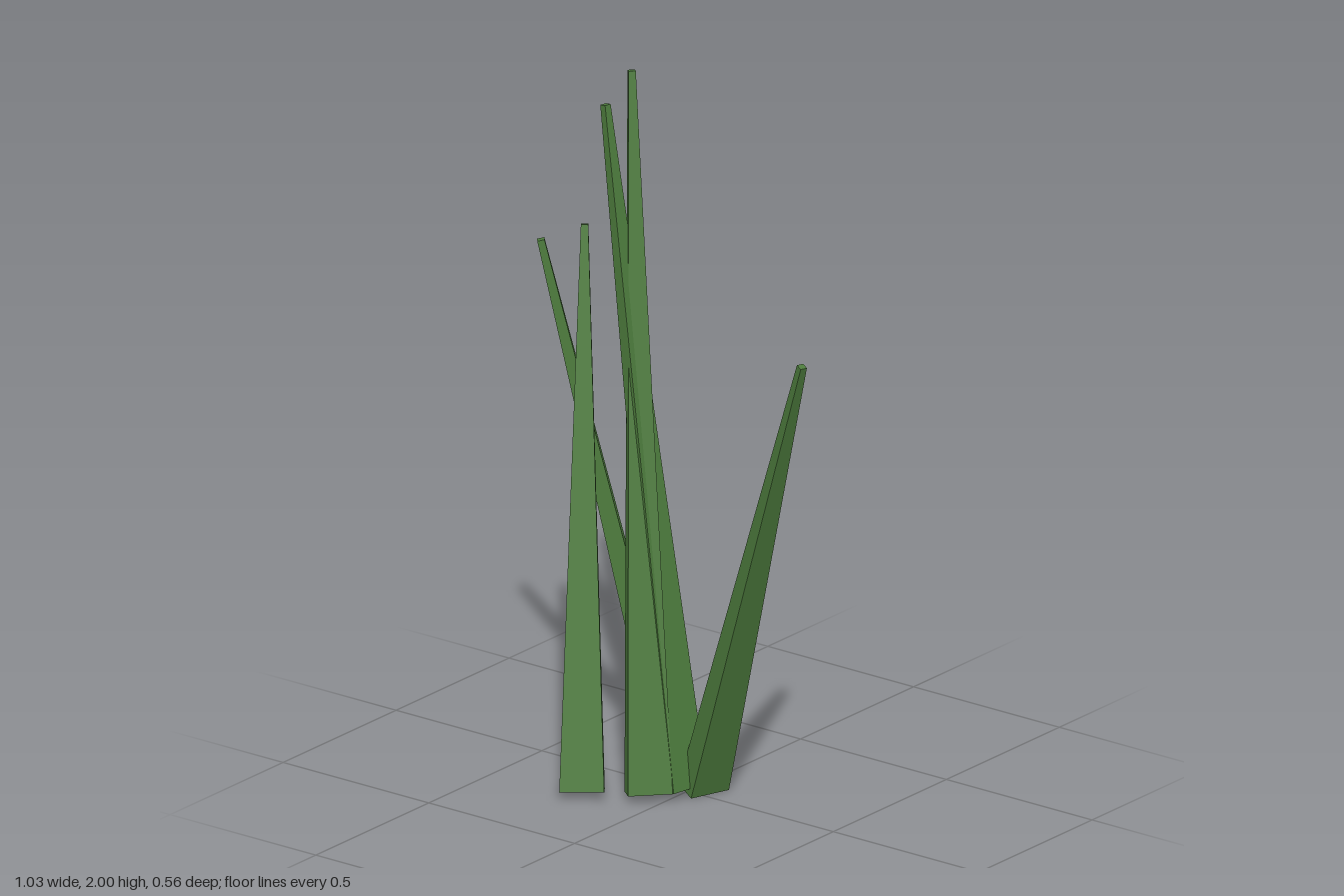
import * as THREE from 'three';

// Straight tapered blade between two end centres; its wide side lies level, across the lean.
function makeBlade(name, base, tip, material) {
  const start = new THREE.Vector3(...base);
  const end = new THREE.Vector3(...tip);
  const up = end.clone().sub(start);
  const length = up.length();
  up.normalize();
  const across = new THREE.Vector3(up.z, 0, -up.x).normalize();
  const depth = new THREE.Vector3().crossVectors(across, up);

  // Box narrowed towards the tip
  const geometry = new THREE.BoxGeometry(1, length, 1);
  geometry.translate(0, length / 2, 0);
  const pos = geometry.attributes.position;
  for (let i = 0; i < pos.count; i++) {
    const t = pos.getY(i) / length;
    pos.setX(i, pos.getX(i) * THREE.MathUtils.lerp(0.122, 0.02, t));
    pos.setZ(i, pos.getZ(i) * THREE.MathUtils.lerp(0.068, 0.02, t));
  }
  geometry.applyMatrix4(new THREE.Matrix4().makeBasis(across, up, depth).setPosition(start));

  // Crisp normals for the tapered sides
  geometry.computeVertexNormals();
  const mesh = new THREE.Mesh(geometry, material);
  mesh.name = name;
  return mesh;
}

export function createModel() {
  const group = new THREE.Group();
  group.name = 'grassTuft';
  const green = new THREE.MeshStandardMaterial({ color: 0x4c7a3c, flatShading: true });
  green.name = 'grass green';

  // Name, base centre, tip centre
  const blades = [
    ['rightwardBlade', [0.032, 0.011, -0.03], [0.497, 1.39, 0.135]],
    ['backBlade', [-0.24, 0.02, -0.213], [-0.502, 1.485, 0.002]],
    ['frontBlade', [-0.197, 0.02, 0.213], [-0.378, 1.548, -0.032]],
    ['tallBlade', [-0.043, 0.02, 0.117], [-0.271, 1.998, -0.102]],
    ['middleBlade', [0.004, 0.02, 0.028], [-0.305, 1.913, -0.03]],
  ];
  for (const [name, base, tip] of blades) group.add(makeBlade(name, base, tip, green));
  return group;
}
